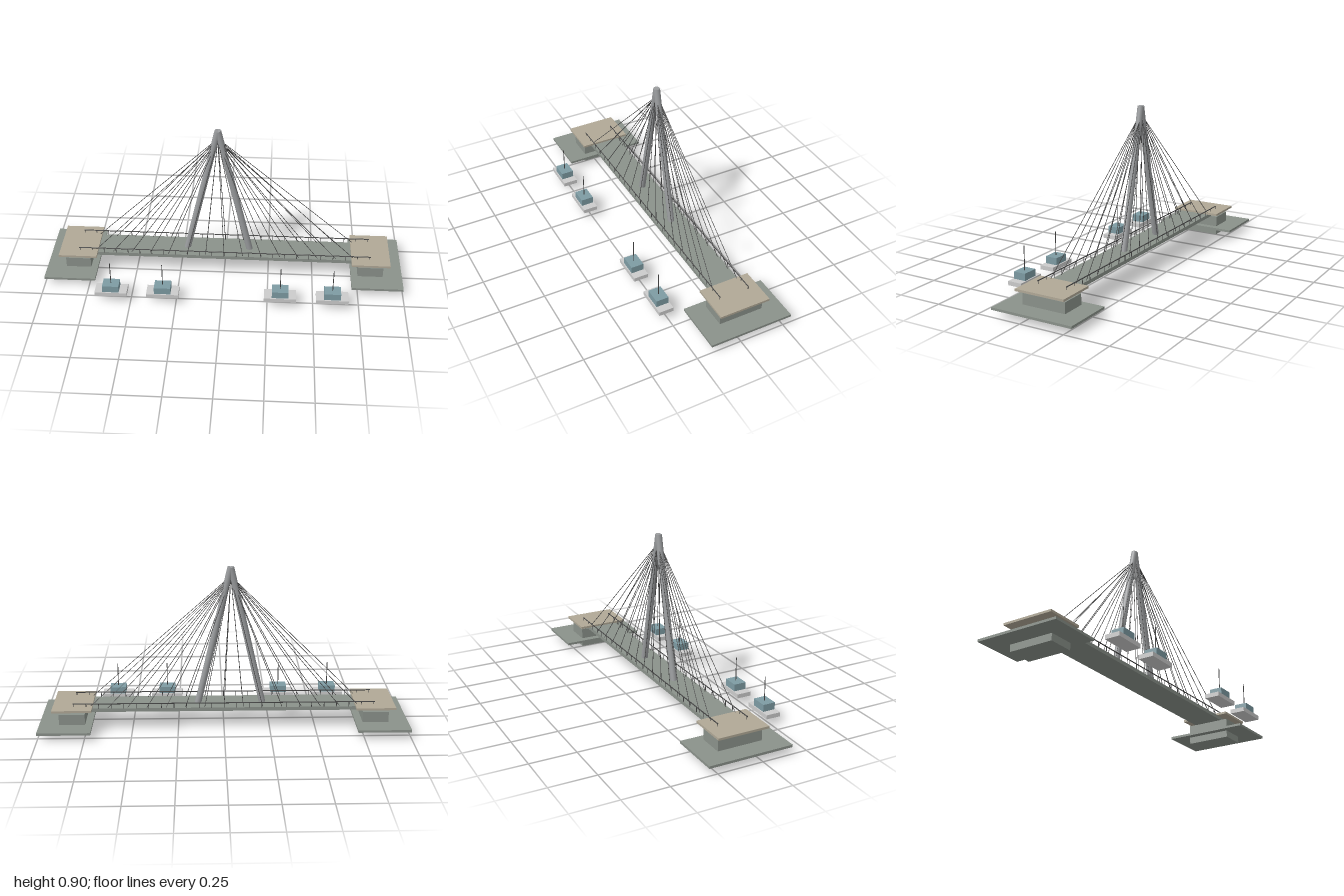
import * as THREE from 'three';

const mat = (color) => new THREE.MeshStandardMaterial({ color });
const stone = mat(0x8a918a), tan = mat(0xb0a896), grey = mat(0xcccccc);
const steel = mat(0x9a9c9e), teal = mat(0x7d9ba3), dark = mat(0x444444);
const MID = -0.064; // centre line of the bridge in z

// Box given by its low and high corners
function block(parent, name, material, x, y, z) {
  const mesh = new THREE.Mesh(
    new THREE.BoxGeometry(x[1] - x[0], y[1] - y[0], z[1] - z[0]), material);
  mesh.position.set((x[0] + x[1]) / 2, (y[0] + y[1]) / 2, (z[0] + z[1]) / 2);
  mesh.name = name;
  parent.add(mesh);
  return mesh;
}

// Round bar between two points
function bar(parent, name, material, a, b, radius, sides = 6) {
  const from = new THREE.Vector3(...a), to = new THREE.Vector3(...b);
  const dir = to.clone().sub(from);
  const mesh = new THREE.Mesh(
    new THREE.CylinderGeometry(radius, radius, dir.length(), sides), material);
  mesh.position.copy(from).add(to).multiplyScalar(0.5);
  mesh.quaternion.setFromUnitVectors(new THREE.Vector3(0, 1, 0), dir.normalize());
  mesh.name = name;
  parent.add(mesh);
  return mesh;
}

function group(parent, name) {
  const g = new THREE.Group();
  g.name = name;
  parent.add(g);
  return g;
}

export function createModel() {
  const bridge = new THREE.Group();
  bridge.name = 'cableStayedBridge';

  // Abutments at both ends
  for (const s of [-1, 1]) {
    const end = group(bridge, s < 0 ? 'rightAbutment' : 'leftAbutment');
    const span = (a, b) => (s < 0 ? [-b, -a] : [a, b]);
    block(end, 'groundSlab', stone, span(0.714, 1), [0.038, 0.051], [MID - 0.232, MID + 0.232]);
    block(end, 'abutmentBlock', stone, span(0.752, 0.892), [0, 0.11], [MID - 0.124, MID + 0.124]);
    block(end, 'landingPlate', tan, span(0.714, 0.928), [0.128, 0.14], [MID - 0.142, MID + 0.142]);
  }

  // Deck
  block(bridge, 'deck', stone, [-0.82, 0.82], [0.109, 0.129], [MID - 0.085, MID + 0.085]);

  // Railings along both edges
  for (const s of [-1, 1]) {
    const railing = group(bridge, s < 0 ? 'backRailing' : 'frontRailing');
    const z = MID + s * 0.084;
    bar(railing, 'handrail', dark, [-0.82, 0.156, z], [0.82, 0.156, z], 0.0028);
    const posts = 24;
    for (let i = 0; i <= posts; i++) {
      const x = -0.815 + (1.63 * i) / posts;
      bar(railing, 'railPost', dark, [x, 0.128, z], [x, 0.156, z], 0.0018);
    }
  }

  // Two leaning legs that meet at the top
  const pylon = group(bridge, 'pylon');
  for (const x of [-0.212, 0.142]) {
    bar(pylon, 'pylonLeg', steel, [x, 0.122, MID], [-0.037, 0.892, MID], 0.018, 24);
  }

  // Stay cables fanning out to both deck edges
  const cables = group(bridge, 'stayCables');
  for (const s of [-1, 1]) {
    for (let i = -7; i <= 7; i++) {
      bar(cables, 'stayCable', dark,
        [i * 0.105, 0.128, MID + s * 0.075], [-0.037, 0.842, MID + s * 0.007], 0.0017, 5);
    }
  }

  // Row of mooring blocks with masts in front of the bridge
  for (const x of [-0.607, -0.323, 0.32, 0.604]) {
    const mooring = group(bridge, 'mooring');
    block(mooring, 'mooringBase', grey, [x - 0.088, x + 0.088], [0.04, 0.063], [0.217, 0.299]);
    block(mooring, 'mooringCabin', teal, [x - 0.045, x + 0.045], [0.063, 0.102], [0.223, 0.293]);
    bar(mooring, 'mast', dark, [x, 0.1, 0.258], [x, 0.235, 0.258], 0.0024);
  }

  return bridge;
}
